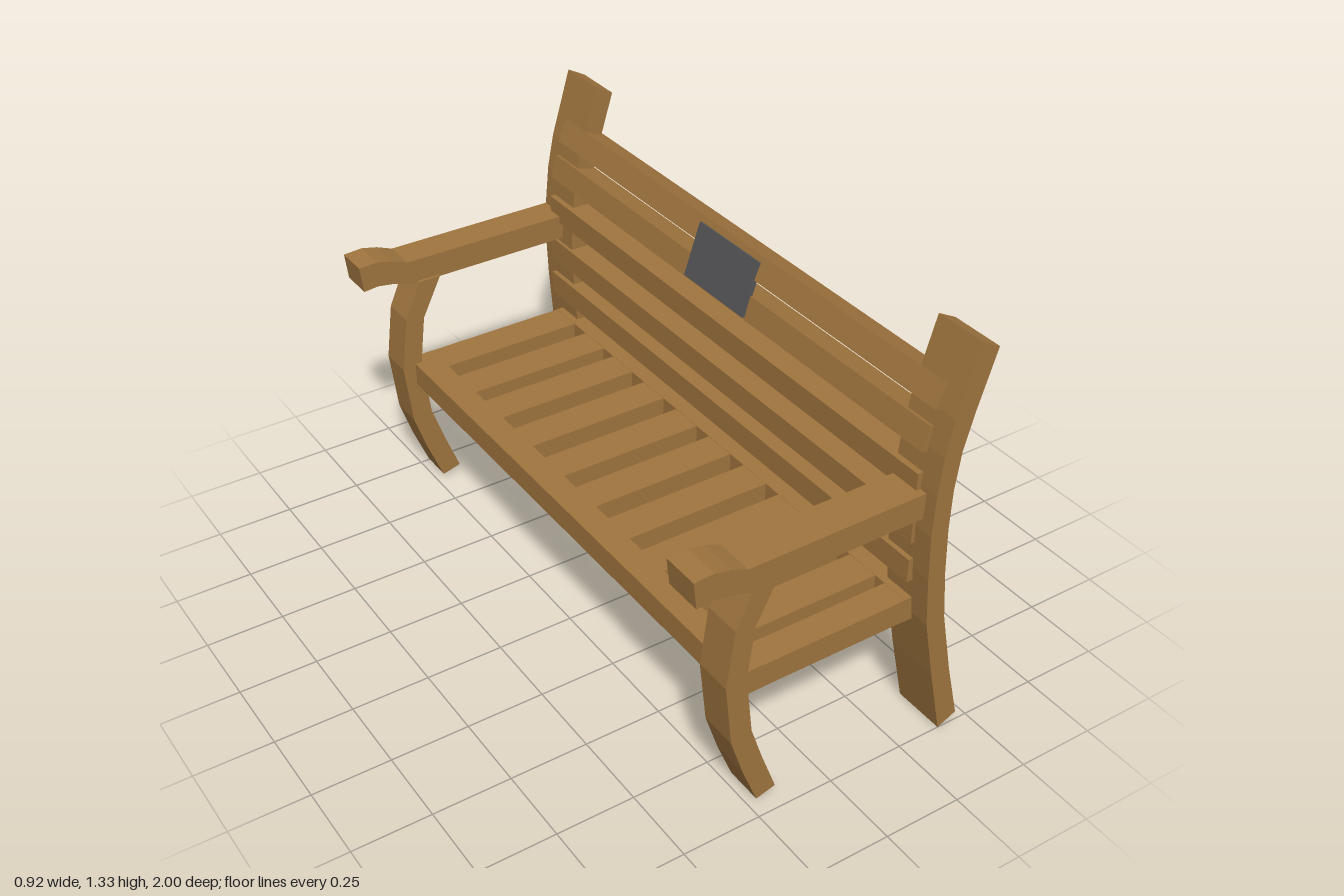
import * as THREE from 'three';

const wood = new THREE.MeshStandardMaterial({ color: 0xa0753f, flatShading: true });
const slate = new THREE.MeshStandardMaterial({ color: 0x555558, flatShading: true });

// side profiles in the x-y plane (the seat faces -x)
const BACK_POST = [
  [0.395, 0.0], [0.458, 0.03], [0.41, 0.225], [0.367, 0.433], [0.35, 0.6], [0.343, 0.75], [0.346, 0.88],
  [0.361, 1.0], [0.39, 1.11], [0.447, 1.293], [0.387, 1.325], [0.322, 1.11], [0.3, 1.0], [0.288, 0.88],
  [0.283, 0.75], [0.29, 0.6], [0.303, 0.433], [0.345, 0.225],
];
const FRONT_LEG = [
  [-0.223, 0.012], [-0.16, 0.03], [-0.212, 0.17], [-0.251, 0.286], [-0.275, 0.486], [-0.254, 0.654],
  [-0.186, 0.79], [-0.262, 0.79], [-0.318, 0.665], [-0.342, 0.48], [-0.318, 0.272], [-0.275, 0.142],
];
const ARM = [
  [0.3, 0.785], [0.3, 0.867], [-0.293, 0.867], [-0.345, 0.888], [-0.398, 0.9], [-0.46, 0.896],
  [-0.45, 0.809], [-0.4, 0.814], [-0.35, 0.806], [-0.275, 0.783],
];

export function createModel() {
  const bench = new THREE.Group();
  bench.name = 'bench';

  const add = (name, geometry, material = wood) => {
    const mesh = new THREE.Mesh(geometry, material);
    mesh.name = name;
    bench.add(mesh);
    return mesh;
  };

  // profile extruded from z0 to z1
  const plank = (name, points, z0, z1) => {
    const shape = new THREE.Shape(points.map(([x, y]) => new THREE.Vector2(x, y)));
    const geometry = new THREE.ExtrudeGeometry(shape, { depth: z1 - z0, bevelEnabled: false });
    add(name, geometry.translate(0, 0, z0));
  };

  // box given by its limits
  const box = (name, x0, x1, y0, y1, z0, z1) => {
    add(name, new THREE.BoxGeometry(x1 - x0, y1 - y0, z1 - z0))
      .position.set((x0 + x1) / 2, (y0 + y1) / 2, (z0 + z1) / 2);
  };

  // posts, front legs and armrests at both ends
  plank('backPostNear', BACK_POST, 0.83, 1);
  plank('backPostFar', BACK_POST, -1, -0.83);
  plank('frontLegNear', FRONT_LEG, 0.83, 0.95);
  plank('frontLegFar', FRONT_LEG, -0.99, -0.88);
  plank('armrestNear', ARM, 0.84, 0.96);
  plank('armrestFar', ARM, -1, -0.89);

  // seat: front and rear rails with cross slats
  box('seatFrontRail', -0.297, -0.212, 0.41, 0.49, -0.925, 0.935);
  box('seatRearRail', 0.275, 0.355, 0.41, 0.49, -0.925, 0.935);
  const seatSlats = [-0.868, -0.682, -0.508, -0.322, -0.135, 0.047, 0.23, 0.408, 0.58, 0.748, 0.89];
  seatSlats.forEach((z, i) => {
    const half = i === seatSlats.length - 1 ? 0.045 : 0.057;
    box('seatSlat' + (i + 1), -0.23, 0.29, 0.411, 0.489, z - half, z + half);
  });

  // backrest slats: centre x, centre y, lean
  const backSlats = [
    [0.316, 0.593, 0], [0.316, 0.727, 0], [0.316, 0.882, 0], [0.33, 1.015, 0.28], [0.365, 1.13, 0.4],
  ];
  backSlats.forEach(([x, y, lean], i) => {
    const slat = add('backSlat' + (i + 1), new THREE.BoxGeometry(0.086, 0.077, 1.88));
    slat.position.set(x, y, -0.005);
    slat.rotation.z = -lean;
  });

  // plate fixed to the upper two slats
  const plate = add('plate', new THREE.BoxGeometry(0.016, 0.173, 0.295), slate);
  plate.position.set(0.304, 1.081, -0.005);
  plate.rotation.z = -0.32;

  return bench;
}
